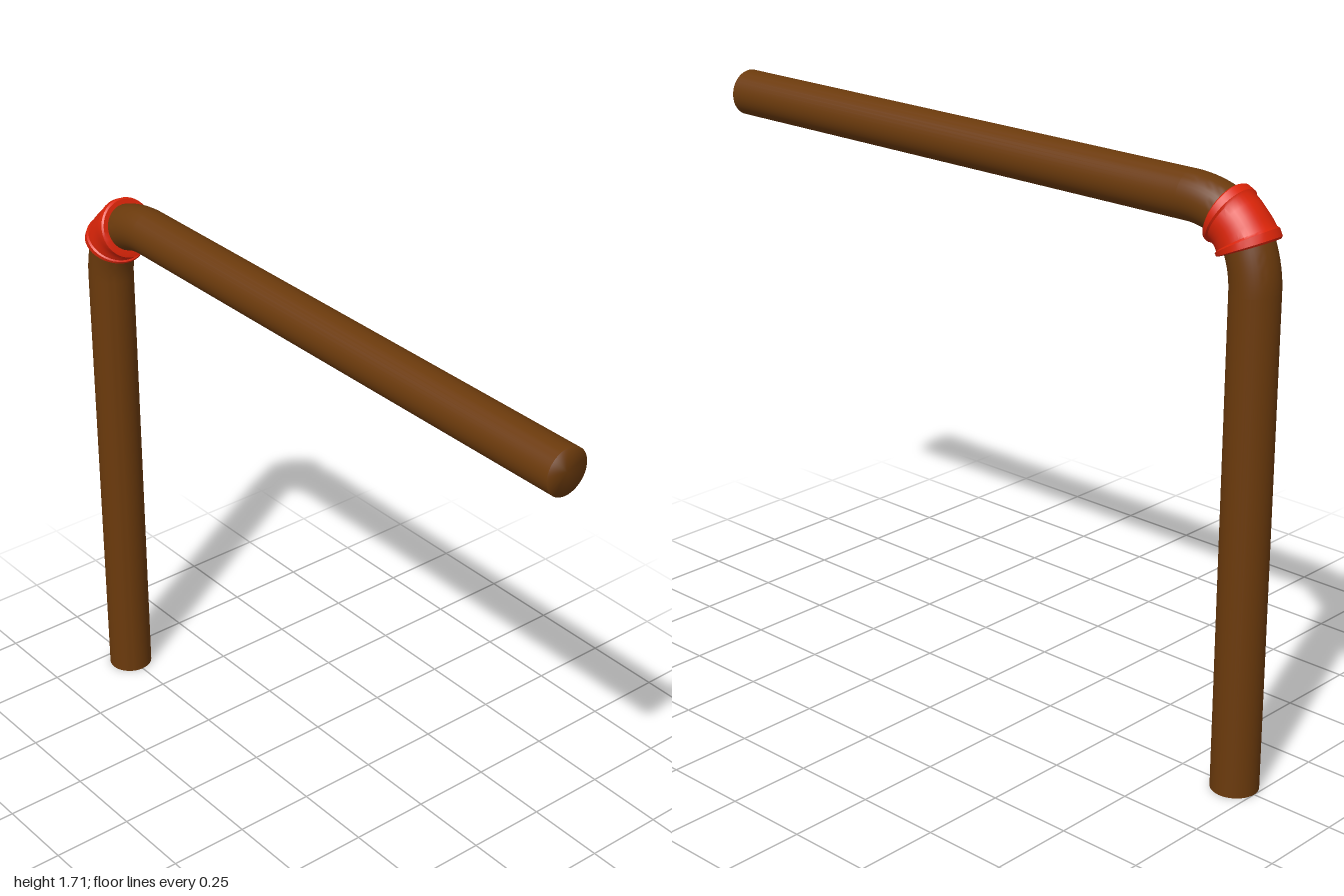
import * as THREE from 'three';
import { toCreasedNormals } from 'three/addons/utils/BufferGeometryUtils.js';

const PIPE_R = 0.068, CX = -0.932, CY = 1.638, SIDES = 40;
const TILT = Math.PI / 8;   // each pipe end leans 22.5 degrees into the joint
const BEND = 0.3;           // radius of each pipe's bend

// Loft round rings along a path in the XY plane; a = path angle from vertical
function loft(rings, crease) {
  const pos = [], index = [];
  for (const { x, y, a, r } of rings) {
    for (let i = 0; i < SIDES; i++) {
      const t = (i / SIDES) * Math.PI * 2, c = Math.cos(t) * r;
      pos.push(x + c * Math.cos(a), y - c * Math.sin(a), Math.sin(t) * r);
    }
  }
  for (let k = 0; k < rings.length - 1; k++) {
    for (let i = 0; i < SIDES; i++) {
      const j = (i + 1) % SIDES, p = k * SIDES, q = p + SIDES;
      index.push(p + i, q + i, p + j, p + j, q + i, q + j);
    }
  }
  const g = new THREE.BufferGeometry();
  g.setAttribute('position', new THREE.Float32BufferAttribute(pos, 3));
  g.setIndex(index);
  return toCreasedNormals(g, crease);
}

// Round end cap whose normals lean outward toward the rim
function softCap() {
  const g = new THREE.CircleGeometry(PIPE_R, SIDES);
  const p = g.attributes.position, n = g.attributes.normal;
  const v = new THREE.Vector3();
  for (let i = 0; i < p.count; i++) {
    v.set(p.getX(i), p.getY(i), PIPE_R).normalize();
    n.setXYZ(i, v.x, v.y, v.z);
  }
  return g;
}

export function createModel() {
  const model = new THREE.Group();
  const brown = new THREE.MeshStandardMaterial({ color: 0x6b3a0c, side: THREE.DoubleSide });
  const red = new THREE.MeshStandardMaterial({ color: 0xd92408, side: THREE.DoubleSide });
  const add = (name, geometry, material) => {
    const m = new THREE.Mesh(geometry, material);
    m.name = name;
    model.add(m);
    return m;
  };

  // Where the upright pipe meets the joint
  const ax = CX + 0.024, ay = CY - 0.1;
  const bendStart = ay - BEND * Math.sin(TILT);

  // Upright pipe: straight run, then a short bend
  const upright = [{ x: CX, y: 0, a: 0, r: PIPE_R }];
  for (let i = 0; i <= 8; i++) {
    const a = (TILT * i) / 8;
    upright.push({
      x: CX + BEND * (1 - Math.cos(a)), y: bendStart + BEND * Math.sin(a), a, r: PIPE_R,
    });
  }
  add('uprightPipe', loft(upright, 0.8), brown);

  // Horizontal pipe: the upright mirrored across the corner diagonal, longer run
  const arm = upright.map(({ x, y, a, r }, i) => ({
    x: i === 0 ? 1 : CX + CY - y, y: CY - (x - CX), a: Math.PI / 2 - a, r,
  })).reverse();
  add('horizontalPipe', loft(arm, 0.8), brown);

  // End caps
  const foot = add('uprightPipeEnd', softCap(), brown);
  foot.position.set(CX, 0, 0);
  foot.rotation.x = Math.PI / 2;
  const tip = add('horizontalPipeEnd', softCap(), brown);
  tip.position.set(1, CY, 0);
  tip.rotation.y = Math.PI / 2;

  // Elbow joint: 45 degree bend with a raised rim at each mouth
  const px = CX + 0.157, py = CY - 0.157;
  const R = Math.hypot(px - ax, py - ay);
  const half = [[0, 0.066], [0, 0.083], [0.03, 0.088], [0.16, 0.088], [0.2, 0.083], [0.35, 0.082]];
  const profile = [...half, [0.5, 0.081], ...half.map(([t, r]) => [1 - t, r]).reverse()];
  const elbow = profile.map(([t, r]) => {
    const a = TILT + (t * Math.PI) / 4;
    return { x: px - R * Math.cos(a), y: py + R * Math.sin(a), a, r };
  });
  add('elbowJoint', loft(elbow, 0.6), red);

  return model;
}
